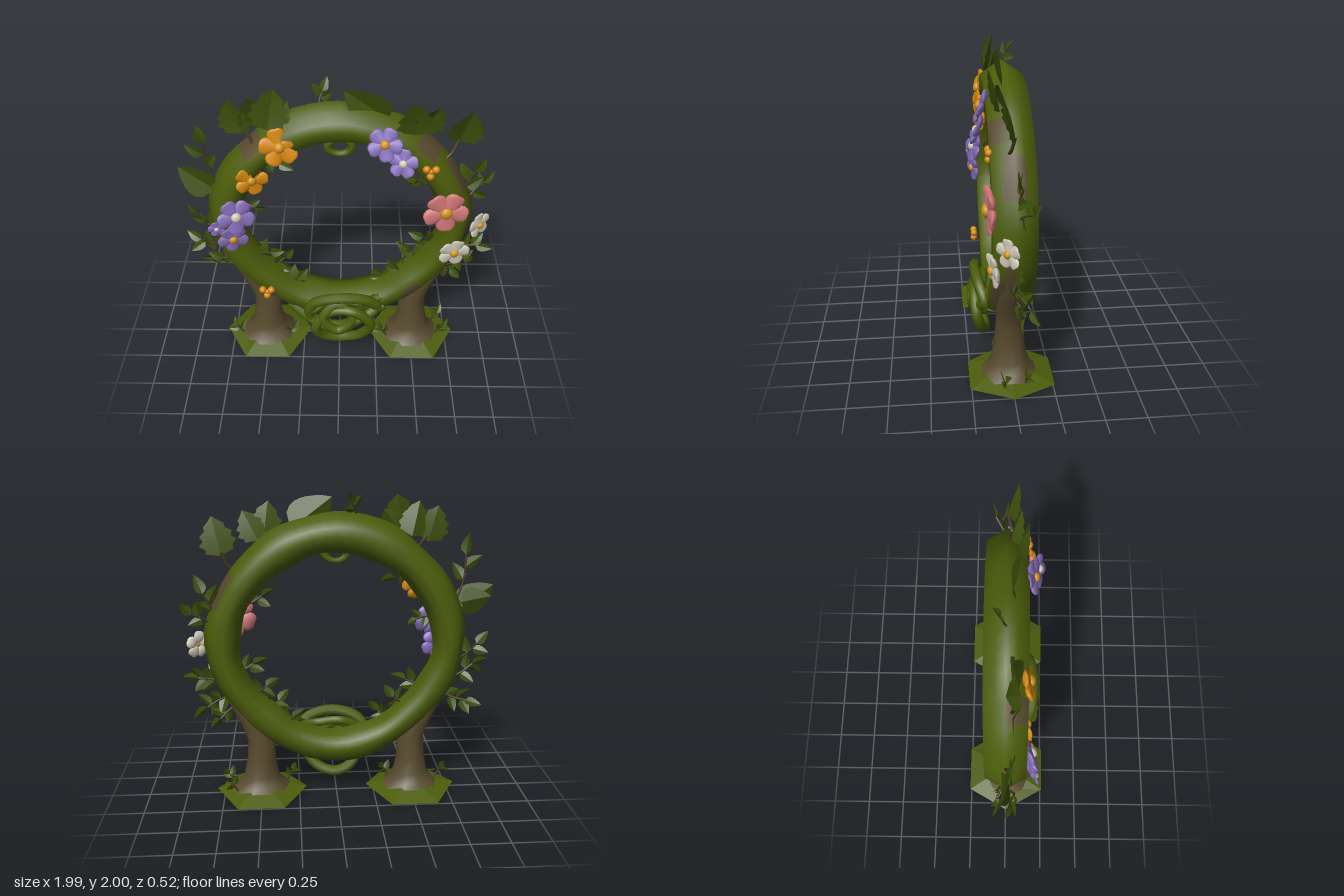
import * as THREE from 'three';

const mat = (name, color, opts = {}) => {
  const m = new THREE.MeshStandardMaterial({ color, ...opts });
  m.name = name;
  return m;
};
const V = (x, y, z) => new THREE.Vector3(x, y, z);

// Skin a surface over rows of points; loop joins last row to first
function loft(rows, loop, isSecond = () => false) {
  const n = rows[0].length, count = rows.length, sets = [[], []];
  for (let i = 0; i < (loop ? count : count - 1); i++) {
    for (let j = 0; j < n; j++) {
      const a = i * n + j, b = ((i + 1) % count) * n + j;
      const c = i * n + (j + 1) % n, d = ((i + 1) % count) * n + (j + 1) % n;
      sets[isSecond(i, j) ? 1 : 0].push(a, b, c, c, b, d);
    }
  }
  const g = new THREE.BufferGeometry().setFromPoints(rows.flat());
  g.setIndex([...sets[0], ...sets[1]]);
  g.addGroup(0, sets[0].length, 0);
  g.addGroup(sets[0].length, sets[1].length, 1);
  g.computeVertexNormals();
  return g;
}

// Folded leaf of unit length along +y, with optional toothed edge
function leafGeometry(width, rows, teeth, curve) {
  const pts = [], idx = [];
  for (let i = 0; i <= rows; i++) {
    const t = i / rows;
    let w = width * Math.pow(Math.sin(Math.PI * Math.pow(t, 0.65)), 0.8) / 2 || 0;
    if (teeth && i % 2 === 0) w *= 0.76;
    if (i === rows) w = 0;
    const bend = curve * t * t;
    pts.push(V(-w, t, bend + w * 0.35), V(0, t, bend), V(w, t, bend + w * 0.35));
    if (i < rows) {
      for (const k of [0, 1]) {
        const a = i * 3 + k;
        idx.push(a, a + 1, a + 3, a + 1, a + 4, a + 3);
      }
    }
  }
  const g = new THREE.BufferGeometry().setFromPoints(pts);
  g.setIndex(idx);
  g.computeVertexNormals();
  return g;
}

// Rounded petal, wider and slightly notched at the tip, cupped forward
function petalGeometry() {
  const g = new THREE.SphereGeometry(1, 12, 8), p = g.attributes.position;
  for (let i = 0; i < p.count; i++) {
    const x = p.getX(i), y = p.getY(i), z = p.getZ(i);
    const notch = y > 0 ? 0.12 * y * Math.exp(-x * x * 10) : 0;
    p.setXYZ(i, x * 0.42 * (1 + 0.25 * y), (y - notch) * 0.48 + 0.54, z * 0.17 + 0.12 * y * y);
  }
  g.computeVertexNormals();
  return g;
}

export function createModel() {
  const model = new THREE.Group();
  model.name = 'floralArch';
  const moss = mat('moss', 0x4c5d0b), bark = mat('bark', 0x574b2e);
  const leafDark = mat('darkLeaf', 0x3d500b, { side: THREE.DoubleSide, flatShading: true });
  const twig = mat('twig', 0x4a3a26), centreGold = mat('goldCentre', 0xd0921c);
  const purple = mat('purplePetal', 0x846cb8), orange = mat('orangePetal', 0xd6880c);
  const pink = mat('pinkPetal', 0xd27878), white = mat('whitePetal', 0xcecab8);
  const add = (name, geo, material, parent = model) => {
    const m = new THREE.Mesh(geo, material);
    m.name = name;
    parent.add(m);
    return m;
  };
  let seed = 7;
  const rand = () => ((seed = (seed * 16807) % 2147483647) / 2147483647) * 2 - 1;

  // Lumpy mossy ring: six-sided section [radial, z], each side halved so bark can patch it
  const hex = [[1, 0], [0.35, 0.87], [-0.55, 0.87], [-1, 0], [-0.55, -0.87], [0.35, -0.87]];
  const section = hex.flatMap((p, i) => {
    const q = hex[(i + 1) % 6];
    return [p, [(p[0] + q[0]) / 2, (p[1] + q[1]) / 2]];
  });
  const SEG = 60, rows = [];
  for (let i = 0; i < SEG; i++) {
    const t = (i / SEG) * Math.PI * 2, c = Math.cos(t), s = Math.sin(t);
    const squeeze = 1 - (s < 0 ? 0.045 : 0.025) * Math.sin(2 * t) ** 2;
    const thick = 0.108 + (s > 0 ? 0.02 : 0.01) * s * s + 0.006 * Math.sin(t * 7 + 1) + 0.004 * Math.sin(t * 13);
    rows.push(section.map(([u, w]) => V(c * (0.727 * squeeze + u * thick),
      1.04 + s * (0.71 * squeeze + u * thick), w * 0.145)));
  }
  // Bark patches: [start angle, end angle, strips]
  const patches = [[14, 32, [11, 0]], [38, 50, [0, 1]], [124, 134, [0, 1]], [182, 198, [0]], [198, 230, [0, 1]],
    [226, 234, [2]], [310, 342, [0, 1]], [306, 314, [2]], [342, 358, [0]]];
  const onPatch = (i, j) => patches.some(([a, b, strips]) => i * 6 >= a && i * 6 < b && strips.includes(j));
  add('ring', loft(rows, true, onPatch), [moss, bark]);

  // Flared trunks on hexagonal mossy feet: [y, x, half width, half depth]
  const trunk = [[0.04, 0.5, 0.2, 0.18], [0.08, 0.5, 0.15, 0.14], [0.14, 0.5, 0.115, 0.115],
    [0.24, 0.5, 0.094, 0.098], [0.38, 0.495, 0.09, 0.085], [0.5, 0.535, 0.094, 0.085],
    [0.62, 0.6, 0.09, 0.08], [0.78, 0.685, 0.08, 0.065], [0.94, 0.75, 0.05, 0.05], [1.04, 0.775, 0.02, 0.02]];
  for (const s of [-1, 1]) {
    const tr = trunk.map(([y, x, rx, rz]) => Array.from({ length: 10 }, (_, j) => {
      const a = (j / 10) * Math.PI * 2;
      return V(s * x + rx * Math.cos(a), y, 0.008 + rz * Math.sin(a));
    }));
    add('trunk', loft(tr, false), [bark, bark]);
    // foot: side corners lifted a little, hollow below
    const profile = [[0, 0.04], [0.14, 0.04], [0.26, 0], [0.3, 0.01], [0.15, 0.06]].map(([x, y]) => new THREE.Vector2(x, y));
    const foot = new THREE.LatheGeometry(profile, 6, Math.PI / 6).toNonIndexed(), p = foot.attributes.position;
    for (let i = 0; i < p.count; i++) p.setY(i, p.getY(i) + 0.16 * Math.max(0, Math.abs(p.getX(i)) - 0.16));
    foot.computeVertexNormals();
    add('foot', foot, moss).position.x = s * 0.5;
    const under = new THREE.CircleGeometry(0.13, 6).rotateX(Math.PI / 2);
    add('footUnderside', under, bark).position.set(s * 0.5, 0.036, 0);
  }

  // Knotted vines at the bottom
  const vine = (name, pts, radius, closed, material = moss, parent = model, seg = 64) => add(name,
    new THREE.TubeGeometry(new THREE.CatmullRomCurve3(pts.map(p => V(...p)), closed), seg, radius, 8, closed), material, parent);
  vine('upperKnotLoop', [[-0.2, 0.3, 0.14], [-0.17, 0.44, 0.17], [0, 0.505, 0.19], [0.18, 0.47, 0.17],
    [0.25, 0.38, 0.14], [0.11, 0.3, 0.19], [-0.05, 0.22, 0.15]], 0.036, true);
  vine('lowerKnotLoop', [[-0.16, 0.24, 0.19], [-0.11, 0.12, 0.15], [0, 0.078, 0.125], [0.14, 0.13, 0.15],
    [0.21, 0.27, 0.19], [0.1, 0.39, 0.2], [-0.06, 0.37, 0.18]], 0.035, true);
  vine('innerKnotLoop', [[-0.11, 0.33, 0.2], [-0.01, 0.43, 0.17], [0.09, 0.33, 0.2], [-0.01, 0.23, 0.21]], 0.033, true);
  vine('knotStrandLow', [[-0.34, 0.38, 0.09], [-0.17, 0.26, 0.15], [0, 0.21, 0.18], [0.12, 0.26, 0.15], [0.3, 0.37, 0.1]], 0.034, false);
  vine('knotStrandHigh', [[0.32, 0.45, 0.08], [0.14, 0.43, 0.15], [-0.04, 0.45, 0.13], [-0.18, 0.37, 0.16], [-0.24, 0.3, 0.09]], 0.03, false);
  const curl = add('topCurl', new THREE.TorusGeometry(0.07, 0.026, 8, 24), moss);
  curl.position.set(0, 1.61, 0.06);
  curl.scale.y = 0.7;

  // Leaves and sprigs
  const smallLeaf = leafGeometry(0.58, 5, false, -0.18), bigLeaf = leafGeometry(0.95, 9, true, 0.12);
  const broadLeaf = leafGeometry(0.75, 8, false, 0);
  const leaf = (name, geo, x, y, z, dir, size, material = leafDark, spread = 0.6, parent = model) => {
    const m = add(name, geo, material, parent);
    m.position.set(x, y, z);
    m.rotation.set(rand() * spread, rand() * spread, dir - Math.PI / 2, 'ZXY');
    m.scale.setScalar(size);
  };
  function sprig(x0, y0, x1, y1, pairs, size, z0 = 0, z1 = 0) {
    const g = new THREE.Group();
    g.name = 'leafSprig';
    model.add(g);
    const dir = Math.atan2(y1 - y0, x1 - x0), len = Math.hypot(x1 - x0, y1 - y0);
    const at = t => [x0 + (x1 - x0) * t - Math.sin(dir) * len * 0.06 * Math.sin(t * Math.PI),
      y0 + (y1 - y0) * t + Math.cos(dir) * len * 0.06 * Math.sin(t * Math.PI), z0 + (z1 - z0) * t];
    vine('stem', [at(0), at(0.5), at(1)], 0.007, false, twig, g, 10);
    for (let k = 0; k < pairs; k++) {
      for (const s of [-1, 1]) {
        leaf('leaf', smallLeaf, ...at((k + 0.75 + s * 0.18) / (pairs + 0.3)), dir + s * (0.9 + rand() * 0.2), size, leafDark, 0.6, g);
      }
    }
    leaf('leaf', smallLeaf, ...at(1), dir + rand() * 0.2, size, leafDark, 0.5, g);
  }
  // Outer sprigs, left then right
  sprig(-0.77, 1.32, -0.82, 1.6, 1, 0.13, 0, 0.02);
  sprig(-0.8, 0.92, -0.9, 1.03, 1, 0.11, 0, -0.04);
  sprig(-0.75, 0.79, -0.9, 0.87, 2, 0.11, 0, 0.03);
  sprig(-0.68, 0.7, -0.84, 0.65, 2, 0.11, 0, -0.06);
  sprig(-0.12, 1.86, -0.1, 1.92, 1, 0.09, 0, -0.03);
  sprig(0.76, 1.18, 0.83, 1.38, 1, 0.13, 0, -0.03);
  sprig(0.79, 1.18, 0.9, 1.26, 1, 0.105, 0, -0.08);
  sprig(0.74, 0.79, 0.89, 0.82, 2, 0.11, 0, 0);
  sprig(0.68, 0.7, 0.83, 0.65, 2, 0.11, 0, -0.08);
  sprig(0.64, 0.64, 0.75, 0.56, 1, 0.1, 0, -0.06);
  // Inner sprigs
  sprig(-0.5, 1.5, -0.37, 1.46, 1, 0.1, 0, 0.02);
  sprig(-0.63, 1.2, -0.53, 1.17, 1, 0.08, 0.05, 0.08);
  sprig(-0.57, 0.71, -0.46, 0.77, 1, 0.11, 0, 0.03);
  sprig(-0.47, 0.57, -0.37, 0.67, 1, 0.105, 0, -0.03);
  sprig(-0.36, 0.48, -0.28, 0.55, 1, 0.1, 0, 0.04);
  sprig(0.57, 1.3, 0.47, 1.35, 1, 0.095, 0, 0.02);
  sprig(0.63, 0.86, 0.54, 0.9, 1, 0.105, 0, 0.03);
  sprig(0.56, 0.69, 0.46, 0.76, 1, 0.11, 0, -0.02);
  sprig(0.47, 0.56, 0.38, 0.64, 1, 0.105, 0, 0.03);
  sprig(0.36, 0.47, 0.29, 0.54, 1, 0.1, 0, -0.03);
  // Tufts at the feet
  for (const [x, z] of [[-0.68, 0.06], [-0.36, 0.08], [0.33, 0.08], [0.68, 0.05], [0.66, -0.08]]) {
    sprig(x, 0.05, x + (Math.abs(x) > 0.5 ? 0.04 : -0.03) * Math.sign(x), 0.11, 1, 0.075, z, z);
  }
  // Large leaves: [x, y, z, direction, size]
  for (const [x, y, z, d, s] of [[-0.58, 1.68, 0.04, 1.8, 0.23], [-0.42, 1.72, 0.07, 1.4, 0.26], [-0.4, 1.74, 0.04, 0.95, 0.18],
    [-0.47, 1.72, 0, 1.85, 0.23], [0.45, 1.69, 0.06, 1.7, 0.25], [0.48, 1.7, 0.02, 1.1, 0.21], [0.71, 1.61, 0, 1.35, 0.25]]) {
    leaf('toothedLeaf', bigLeaf, x, y, z, d, s, moss === null ? moss : leafDark, 0.25);
  }
  leaf('broadLeaf', broadLeaf, 0.28, 1.77, 0.02, 2.5, 0.32, leafDark, 0.25);
  leaf('broadLeaf', broadLeaf, -0.78, 1.25, 0, 2.5, 0.27, leafDark, 0.3);
  leaf('broadLeaf', broadLeaf, -0.79, 1.3, -0.02, 2.95, 0.2, leafDark, 0.5);
  vine('twig', [[-0.5, 1.56, 0.06], [-0.53, 1.66, 0.04], [-0.57, 1.72, 0.03]], 0.01, false, twig, model, 8);
  vine('twig', [[0.58, 1.48, 0.04], [0.66, 1.53, 0.02], [0.71, 1.63, 0]], 0.01, false, twig, model, 8);

  // Five-petalled flowers: [x, y, z, radius, petals, centre, tilt x, tilt y]
  const petal = petalGeometry(), ball = new THREE.SphereGeometry(1, 12, 8);
  for (const [x, y, z, r, petals, centre, tx, ty] of [
    [-0.35, 1.64, 0.12, 0.122, orange, centreGold, -0.2, 0.1], [-0.53, 1.4, 0.11, 0.105, orange, centreGold, 0, 0.3],
    [-0.64, 1.15, 0.145, 0.12, purple, white, -0.2, 0.3], [-0.67, 0.98, 0.15, 0.1, purple, centreGold, 0.1, 0.3],
    [-0.76, 1.08, 0.18, 0.055, purple, white, 0, 0.2], [0.26, 1.68, 0.15, 0.105, purple, centreGold, -0.35, -0.1],
    [0.37, 1.57, 0.18, 0.09, purple, white, -0.35, -0.2], [0.65, 1.19, 0.13, 0.145, pink, centreGold, 0, 0.1],
    [0.88, 1.03, 0.05, 0.09, white, centreGold, 0, 0.7], [0.73, 0.86, 0.12, 0.105, white, centreGold, 0.1, 0.2]]) {
    const f = new THREE.Group();
    f.name = 'flower';
    f.position.set(x, y, z);
    f.rotation.set(tx, ty, x * 3);
    f.scale.setScalar(r);
    model.add(f);
    for (let k = 0; k < 5; k++) add('petal', petal, petals, f).rotation.z = (k / 5) * Math.PI * 2;
    const c = add('flowerCentre', ball, centre, f);
    c.scale.set(0.27, 0.27, 0.2);
    c.position.z = 0.16;
  }

  // Berry clusters
  for (const [x, y, z] of [[0.54, 1.48, 0.13], [-0.48, 0.54, 0.165]]) {
    for (let k = 0; k < 4; k++) {
      const a = k * 2.09 + 0.5, d = k === 3 ? 0 : 0.032;
      const b = add('berry', ball, orange);
      b.scale.setScalar(k === 3 ? 0.016 : 0.024);
      b.position.set(x + d * Math.cos(a), y + d * Math.sin(a), z);
    }
  }
  return model;
}
